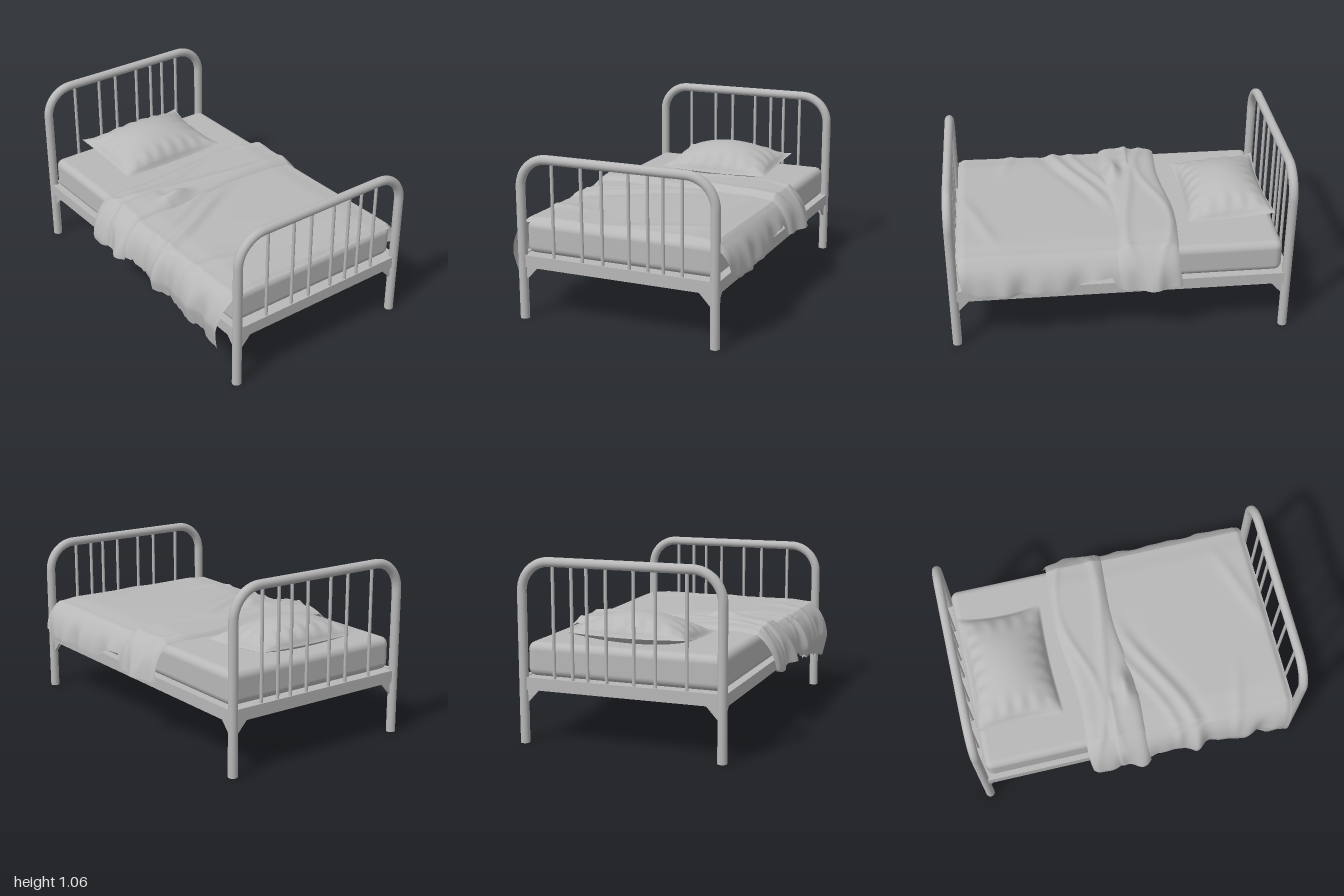
import * as THREE from 'three';
import { RoundedBoxGeometry } from 'three/addons/geometries/RoundedBoxGeometry.js';

const grey = new THREE.MeshStandardMaterial({ color: 0xb8b8b8, side: THREE.DoubleSide });
grey.name = 'plain grey';

const TUBE = 0.027, HALF = 0.586, CZ = -0.006; // post radius, half frame width, frame centre
const { smoothstep, clamp } = THREE.MathUtils;
const bump = (d, w) => Math.exp(-(d * d) / (w * w));

function add(parent, name, geo, x = 0, y = 0, z = 0) {
  const m = new THREE.Mesh(geo, grey);
  m.name = name;
  m.position.set(x, y, z);
  parent.add(m);
  return m;
}

// Smooth surface from a rule f(u, v) -> [x, y, z], both running -1..1
function sheet(nu, nv, f, flip = false) {
  const pos = [], idx = [];
  for (let i = 0; i <= nu; i++)
    for (let j = 0; j <= nv; j++) pos.push(...f((2 * i) / nu - 1, (2 * j) / nv - 1));
  for (let i = 0; i < nu; i++)
    for (let j = 0; j < nv; j++) {
      const a = i * (nv + 1) + j, b = a + 1, c = a + nv + 1, d = c + 1;
      idx.push(...(flip ? [a, c, b, b, c, d] : [a, b, c, b, d, c]));
    }
  const g = new THREE.BufferGeometry();
  g.setAttribute('position', new THREE.Float32BufferAttribute(pos, 3));
  g.setIndex(idx);
  g.computeVertexNormals();
  return g;
}

// Piecewise linear lookup
function lerpAt(keys, x) {
  for (let i = 1; i < keys.length; i++) {
    const [x0, y0] = keys[i - 1], [x1, y1] = keys[i];
    if (x <= x1) return y0 + (y1 - y0) * clamp((x - x0) / (x1 - x0), 0, 1);
  }
  return keys[keys.length - 1][1];
}

// Bent tube hoop with spindles and a lower rail
function endFrame(name, x, top) {
  const g = new THREE.Group();
  g.name = name;
  g.position.set(x, 0, CZ);
  const r = 0.17, k = r * 0.4477, p = (y, z) => new THREE.Vector3(0, y, z);
  const path = new THREE.CurvePath();
  path.add(new THREE.LineCurve3(p(0, HALF), p(top - r, HALF)));
  path.add(new THREE.CubicBezierCurve3(p(top - r, HALF), p(top - k, HALF), p(top, HALF - k), p(top, HALF - r)));
  path.add(new THREE.LineCurve3(p(top, HALF - r), p(top, r - HALF)));
  path.add(new THREE.CubicBezierCurve3(p(top, r - HALF), p(top, k - HALF), p(top - k, -HALF), p(top - r, -HALF)));
  path.add(new THREE.LineCurve3(p(top - r, -HALF), p(0, -HALF)));
  add(g, 'hoop', new THREE.TubeGeometry(path, 160, TUBE, 20));
  for (const s of [-1, 1])
    add(g, 'footCap', new THREE.CircleGeometry(TUBE, 20).rotateX(Math.PI / 2), 0, 0, s * HALF);
  for (const z of [0.386, 0.206, 0.081, -0.081, -0.194, -0.284, -0.396])
    add(g, 'spindle', new THREE.CylinderGeometry(0.0095, 0.0095, top - 0.37, 12), 0, (top + 0.37) / 2, z);
  add(g, 'endRail', new THREE.BoxGeometry(0.03, 0.07, 2 * HALF), 0, 0.345, 0);
  return g;
}

// Triangular corner braces under the rails
function braces() {
  const g = new THREE.Group();
  g.name = 'cornerBraces';
  const tri = new THREE.Shape([[0, 0], [0.09, 0], [0.09, -0.006], [0.022, -0.08], [0, -0.08]].map(([a, b]) => new THREE.Vector2(a, b)));
  const geo = new THREE.ExtrudeGeometry(tri, { depth: 0.014, bevelEnabled: false }).translate(0, 0, -0.007);
  for (const sx of [-1, 1])
    for (const sz of [-1, 1]) {
      const along = add(g, 'sideBrace', geo, sx * 0.971, 0.312, CZ + sz * HALF);
      along.rotation.y = sx > 0 ? Math.PI : 0;
      const across = add(g, 'endBrace', geo, sx * 0.971, 0.312, CZ + sz * HALF);
      across.rotation.y = (sz * Math.PI) / 2;
    }
  return g;
}

// Cloth over the mattress: flat on top, flaring outward as it hangs down both sides
function drape(x, w, top, hemFront, hemBack, lift) {
  const side = Math.sign(w), t = clamp((Math.abs(w) - 0.6) / 0.4, 0, 1);
  const hem = side > 0 ? hemFront : hemBack;
  const d = Math.pow(t, 1.4) * (top - hem);
  let z = side * 0.57 * Math.min(1, Math.abs(w) / 0.6);
  const wave = 0.012 * Math.sin(x * 21 + side) + 0.008 * Math.sin(x * 37 + 2);
  const curl = 0.25 * Math.max(0, d - 0.2);
  const out = 0.115 * (1 - Math.exp(-d / 0.08)) + wave * smoothstep(d, 0.02, 0.2) - curl;
  const soft = 0.012 * smoothstep(Math.abs(w), 0.45, 0.6);
  z += side * (out + lift * t);
  return [z, top - soft - d + lift * (1 - t), d];
}

const FRONT_HEM = [[-0.35, 0.4], [0.1, 0.39], [0.22, 0.375], [0.36, 0.325], [0.6, 0.3], [0.9, 0.245], [0.94, 0.25]];
const BACK_HEM = [[-0.35, 0.385], [0.02, 0.385], [0.06, 0.46], [0.18, 0.46], [0.3, 0.39], [0.85, 0.375], [0.94, 0.44]];

// Soft creases on the spread
function folds(x, z) {
  const curve = 0.02 + 0.32 * smoothstep(z, -0.2, 0.65);
  const on = smoothstep(z, -0.25, 0.15);
  return 0.016 * on * bump(x - curve, 0.035) - 0.007 * on * bump(x - curve - 0.07, 0.04)
    + 0.011 * on * bump(x - curve + 0.11, 0.03)
    + 0.01 * bump(x - 0.78 - 0.35 * (z + 0.3), 0.04) * smoothstep(z, -0.55, -0.3) * (1 - smoothstep(z, -0.1, 0.15))
    + 0.009 * bump(x - 0.62 + 0.25 * (z - 0.5), 0.035) * smoothstep(z, 0.2, 0.5)
    + 0.003 * Math.sin(5 * x + 4 * z);
}

function blanketPoint(u, w) {
  let x = 0.32 + 0.62 * u;
  const frayed = 0.006 * Math.sin(x * 90) + 0.004 * Math.sin(x * 151);
  const [z, y, d] = drape(x, w, 0.592, lerpAt(FRONT_HEM, x) + frayed, lerpAt(BACK_HEM, x), 0);
  const f = folds(x, z);
  const endDrop = 0.02 * smoothstep(x, 0.9, 0.94);
  x -= 0.15 * d * smoothstep(x, 0.5, 0.94);
  return [x, y + f * (d < 0.02 ? 1 : 0.4) - endDrop, z + Math.sign(w) * f * smoothstep(d, 0, 0.06)];
}

// Turned-back band, padded so its edges roll down onto the spread
function bandPoint(u, w) {
  const zz = (w / 0.6) * 0.57;
  const shift = 0.012 * Math.sin(zz * 7) + 0.025 * smoothstep(zz, -0.2, 0.55);
  const x = -0.165 + 0.178 * u + shift;
  const pad = 0.026 * (1 - Math.pow(Math.abs(u), 8));
  const hem = 0.385 + 0.02 * smoothstep(-u, -0.2, 0.1) * Math.sin(3 * u);
  const [z, y, d] = drape(x, w, 0.588, hem, 0.39, pad);
  const flat = 1 - smoothstep(d, 0, 0.05);
  const ridge = 0.05 * bump(x + 0.03, 0.045) * bump(z - 0.27, 0.09)
    + 0.012 * bump(u - 0.35 + 0.4 * Math.sin(zz * 4), 0.18)
    + 0.01 * bump(u + 0.55 - 0.3 * Math.sin(zz * 5), 0.15);
  const step = 0.012 * smoothstep(u, -0.05, 0.05) * smoothstep(zz, 0.3, 0.36);
  const edge = 1 - Math.pow(Math.abs(u), 6);
  return [x, y + (ridge * edge + step) * flat, z + Math.sign(w) * (ridge * 0.5 * edge + step) * (1 - flat)];
}

// Pillow half: plump centre, pinched seam and flared corners
const pillowPoint = (up) => (u, v) => {
  const x = -0.675 + 0.265 * u * (1 - 0.08 * (1 - v * v));
  const z = 0.368 * v * (1 - 0.07 * (1 - u * u));
  const a = clamp(1 - (u * 1.04) ** 2, 0, 1), b = clamp(1 - (v * 1.03) ** 2, 0, 1);
  const plump = Math.pow(a, 0.6) * Math.pow(b, 0.65);
  const rim = Math.min(a, b);
  const crease = 0.006 * Math.sin(v * 24 + u * 3) * bump(a - 0.35, 0.25) * b
    + 0.005 * Math.sin(u * 17) * bump(b - 0.35, 0.25) * a;
  const seam = 0.607 - 0.02 * u + 0.018 * u * u * v * v;
  if (up) return [x, seam + 0.137 * plump + crease * Math.min(1, rim * 5), z];
  return [x, Math.max(0.568, seam - 0.05 * plump), z];
};

export function createModel() {
  const bed = new THREE.Group();
  bed.name = 'bed';

  // Metal frame
  bed.add(endFrame('headboard', -0.973, 1.033), endFrame('footboard', 0.971, 0.942), braces());
  for (const s of [-1, 1])
    add(bed, 'sideRail', new THREE.BoxGeometry(1.93, 0.07, 0.026), 0, 0.345, CZ + s * 0.594);
  add(bed, 'basePanel', new THREE.BoxGeometry(1.92, 0.03, 1.17), 0, 0.36, CZ);

  // Mattress, slightly narrower towards the top
  const mattress = new RoundedBoxGeometry(1.885, 0.195, 1.165, 5, 0.045);
  add(bed, 'mattress', mattress, -0.002, 0.475, CZ);

  // Bedding
  add(bed, 'blanket', sheet(120, 120, blanketPoint));
  add(bed, 'foldedBand', sheet(48, 120, bandPoint));
  const pillow = new THREE.Group();
  pillow.name = 'pillow';
  add(pillow, 'pillowTop', sheet(56, 64, pillowPoint(true)));
  add(pillow, 'pillowUnderside', sheet(28, 32, pillowPoint(false), true));
  bed.add(pillow);
  return bed;
}
